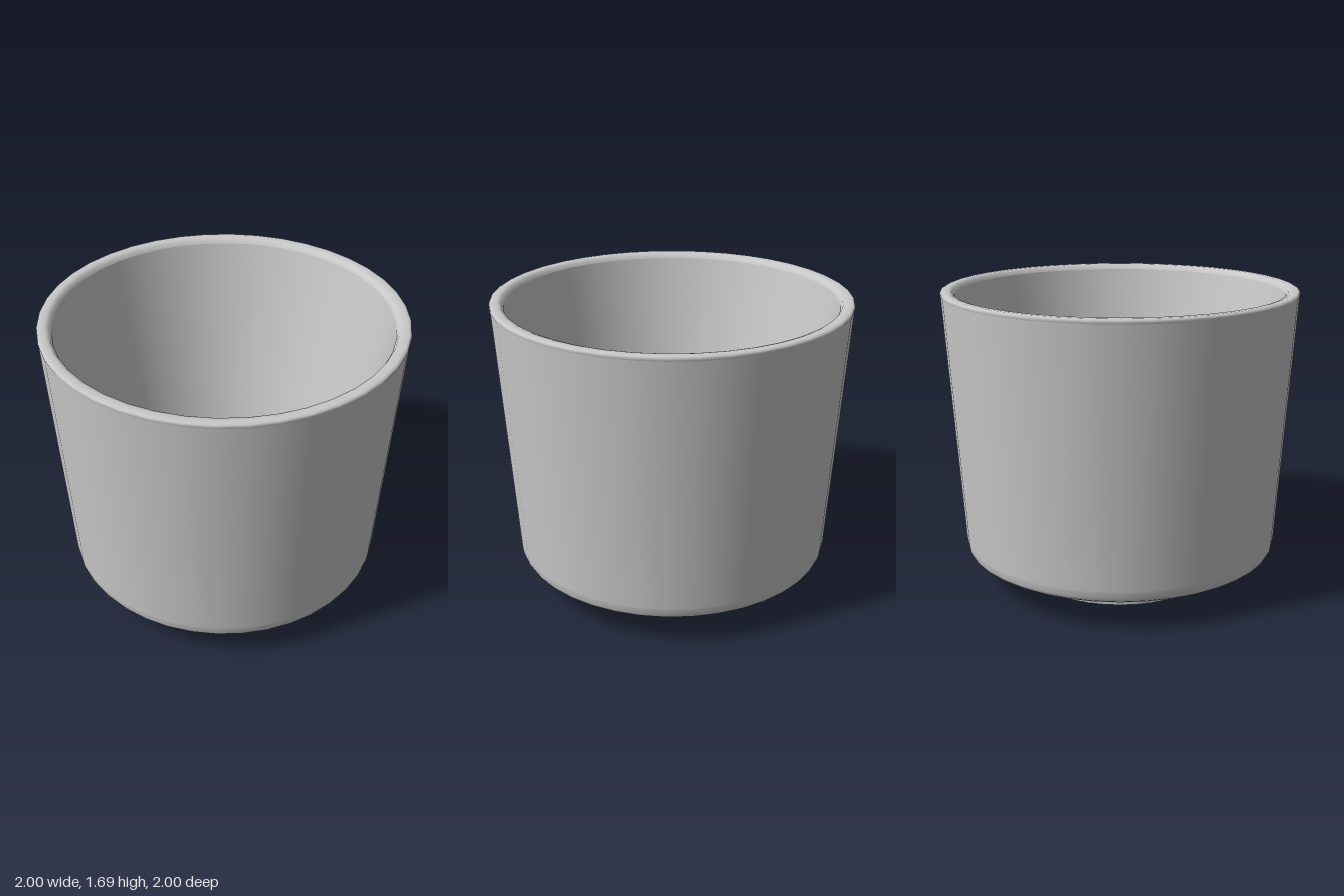
import * as THREE from 'three';

const SEGMENTS = 40;

export function createModel() {
  const group = new THREE.Group();
  const clay = new THREE.MeshStandardMaterial({ color: 0xc8c8c8 });
  clay.name = 'grey clay';

  // Each smooth section is its own lathe, so corners between sections stay sharp.
  // Profiles run from the underside, up the outside, over the rim and down inside.
  function turn(name, profile) {
    const points = profile.map(([r, y]) => new THREE.Vector2(r, y));
    const mesh = new THREE.Mesh(new THREE.LatheGeometry(points, SEGMENTS), clay);
    mesh.name = name;
    group.add(mesh);
  }

  // Solid foot with a barely domed underside
  turn('footUnderside', [[0, 0], [0.3, 0.003], [0.573, 0.01]]);
  turn('footWall', [[0.573, 0.01], [0.582, 0.165]]);

  // Outer body: flat underside, rounded lower edge, tapered wall
  turn('bodyUnderside', [[0.582, 0.165], [0.85, 0.168]]);
  turn('bodyLowerEdge', [
    [0.85, 0.168], [0.875, 0.172], [0.893, 0.185], [0.903, 0.205], [0.908, 0.24],
  ]);
  turn('bodyWall', [[0.908, 0.24], [0.997, 1.665]]);

  // Rounded rim
  turn('rim', [
    [0.997, 1.665], [1, 1.675], [0.997, 1.685], [0.985, 1.69],
    [0.955, 1.69], [0.934, 1.683], [0.922, 1.66],
  ]);

  // Inside: steep cone with a small curve into a flat floor
  turn('innerWall', [[0.922, 1.66], [0.645, 0.32]]);
  turn('innerCurve', [[0.645, 0.32], [0.635, 0.285], [0.615, 0.262], [0.58, 0.25]]);
  turn('innerFloor', [[0.58, 0.25], [0, 0.25]]);

  return group;
}
